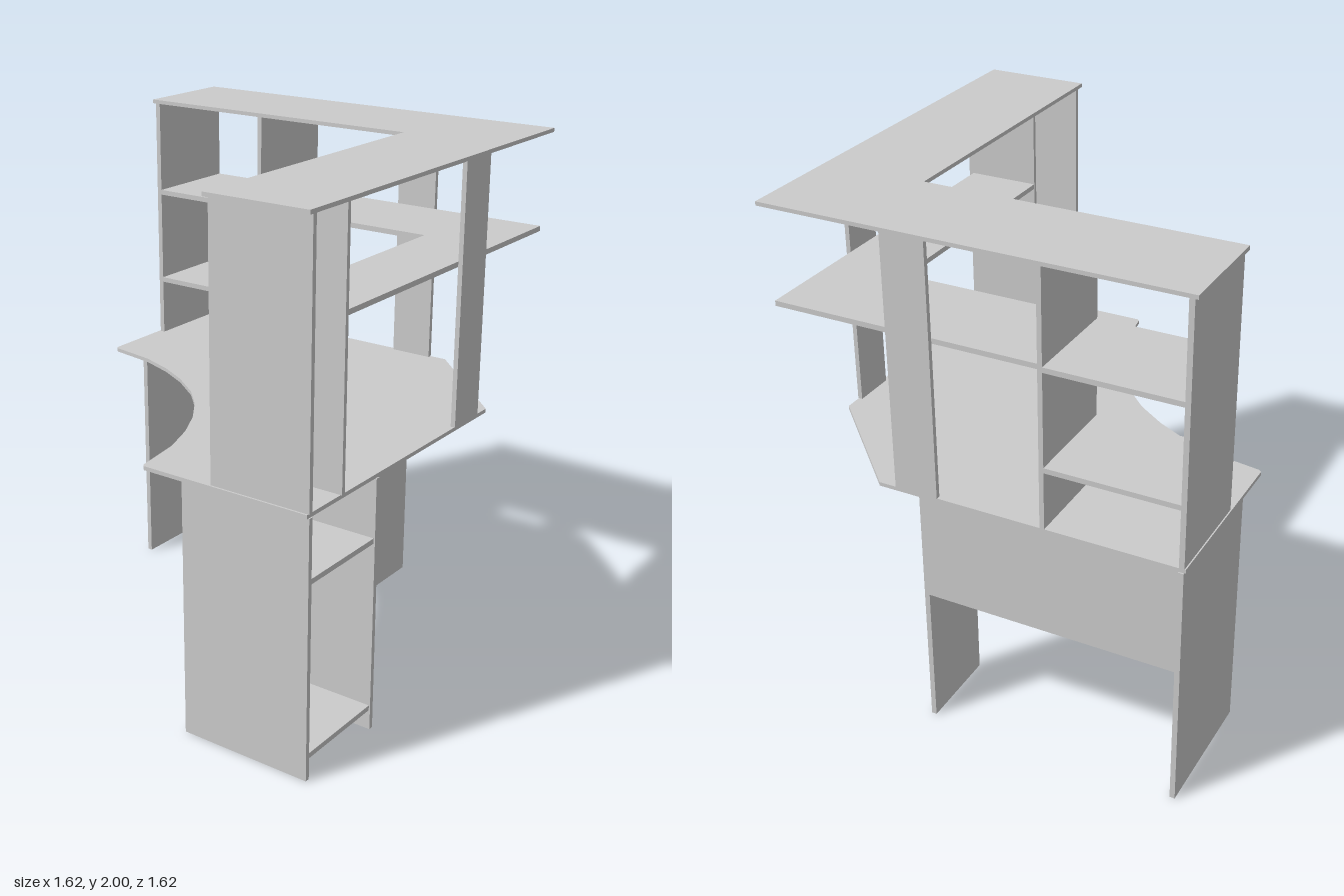
import * as THREE from 'three';

const material = new THREE.MeshStandardMaterial({ color: 0xcccccc });

export function createModel() {
  const model = new THREE.Group();
  model.name = 'cornerDesk';

  const add = (name, geometry) => {
    const mesh = new THREE.Mesh(geometry, material);
    mesh.name = name;
    model.add(mesh);
    return mesh;
  };

  // Box given by its limits along each axis
  const board = (name, [x0, x1], [y0, y1], [z0, z1]) =>
    add(name, new THREE.BoxGeometry(x1 - x0, y1 - y0, z1 - z0))
      .position.set((x0 + x1) / 2, (y0 + y1) / 2, (z0 + z1) / 2);

  // Horizontal slab from an outline of [x, z] points
  const slab = (name, outline, y0, y1) => {
    const shape = new THREE.Shape(outline.map(([x, z]) => new THREE.Vector2(x, z)));
    const geometry = new THREE.ExtrudeGeometry(shape, { depth: y1 - y0, bevelEnabled: false });
    geometry.rotateX(Math.PI / 2);
    add(name, geometry).position.y = y1;
  };

  // L-shaped slab running along the back and the left side
  const lSlab = (name, x0, x1, z0, z1, innerX, innerZ, y0, y1) =>
    slab(name, [[x0, z0], [x1, z0], [x1, z1], [innerX, z1], [innerX, innerZ], [x0, innerZ]], y0, y1);

  // Desk top: curved front edge, mirrored about the diagonal, and a cut back corner
  const halfCurve = [[-0.8, -0.12], [-0.79, -0.11], [-0.6, -0.08], [-0.46, -0.03], [-0.335, 0.035], [-0.215, 0.12]];
  const otherHalf = halfCurve.map(([x, z]) => [-z, -x]).reverse();
  slab('deskTop', [
    [-0.8, -0.8], ...halfCurve, [-0.122, 0.215].map((v, i) => (i ? v : -0.12)), ...otherHalf.slice(1),
    [0.8, 0.8], [0.8, -0.39], [0.39, -0.8],
  ], 0.985, 1.0);

  // Hutch top and its corner shelf
  lSlab('hutchTop', -0.81, 0.805, -0.81, 0.81, 0.395, -0.4, 1.985, 2.0);
  lSlab('cornerShelf', -0.255, 0.785, -0.785, 0.585, 0.5, -0.4, 1.605, 1.625);

  // Hutch uprights and posts
  const upper = [1.0, 1.985];
  board('hutchRightPanel', [-0.795, -0.775], upper, [-0.8, -0.4]);
  board('hutchDivider', [-0.275, -0.257], upper, [-0.8, -0.4]);
  board('hutchFrontPanel', [0.405, 0.805], upper, [0.775, 0.793]);
  board('hutchFrontDivider', [0.5, 0.805], upper, [0.587, 0.603]);
  board('backPost', [0.15, 0.32], upper, [-0.803, -0.785]);
  board('sidePost', [0.785, 0.803], upper, [-0.32, -0.15]);
  for (const y of [1.225, 1.605]) {
    board('hutchShelf', [-0.775, -0.275], [y, y + 0.02], [-0.8, -0.4]);
  }

  // Legs and modesty panel below the desk top
  const lower = [0, 0.985];
  board('rightLeg', [-0.795, -0.775], lower, [-0.805, -0.28]);
  board('backLeg', [0.205, 0.225], lower, [-0.8, -0.47]);
  board('modestyPanel', [-0.775, 0.205], [0.565, 0.985], [-0.8, -0.782]);

  // Lower bookcase
  for (const z of [0.37, 0.775]) {
    board('bookcasePanel', [0.28, 0.805], lower, [z, z + 0.018]);
  }
  for (const y of [0.077, 0.74]) {
    board('bookcaseShelf', [0.28, 0.8], [y, y + 0.02], [0.388, 0.775]);
  }
  return model;
}
